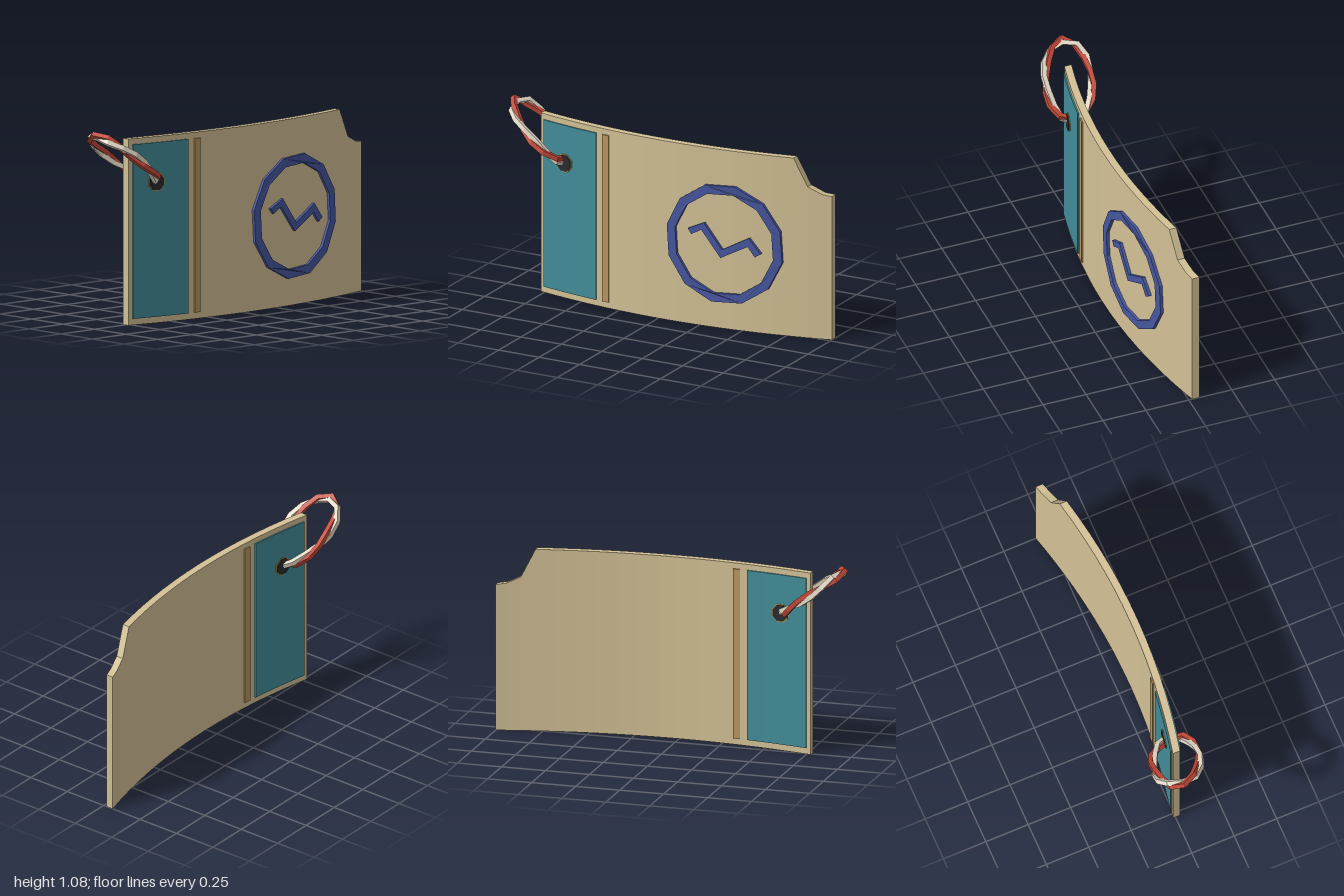
import * as THREE from 'three';

const THICK = 0.042;
// Centre surface of the curved plate
const bendZ = (x) => 0.094 - 0.14 * (x - 0.018) ** 2;

const mat = (color) => new THREE.MeshStandardMaterial({ color, flatShading: true });

function bend(geo) {
  const p = geo.attributes.position;
  for (let i = 0; i < p.count; i++) p.setZ(i, p.getZ(i) + bendZ(p.getX(i)));
  geo.computeVertexNormals();
  return geo;
}

// Upright slab following the curve; columns are [x, topY]
function curvedSlab(columns, y0, depth) {
  const n = columns.length - 1;
  const geo = new THREE.BoxGeometry(1, 1, depth, n, 1, 1);
  const p = geo.attributes.position;
  for (let i = 0; i < p.count; i++) {
    const [x, top] = columns[Math.round((p.getX(i) + 0.5) * n)];
    p.setXY(i, x, p.getY(i) > 0 ? top : y0);
  }
  return bend(geo);
}

function evenColumns(x0, x1, top, n) {
  return Array.from({ length: n + 1 }, (_, i) => [x0 + ((x1 - x0) * i) / n, top]);
}

// Flat outline raised from the front of the plate
function raised(shape) {
  const geo = new THREE.ExtrudeGeometry(shape, { depth: 0.017, bevelEnabled: false });
  geo.translate(0, 0, THICK / 2);
  return bend(geo);
}

function polygon(cx, cy, r, sides, offset) {
  return Array.from({ length: sides }, (_, i) => {
    const a = offset + (i / sides) * Math.PI * 2;
    return new THREE.Vector2(cx + r * Math.cos(a), cy + r * Math.sin(a));
  });
}

// One strand of the twisted cord loop
function strand(phase) {
  const centre = new THREE.Vector3(-0.783, 0.912, 0);
  const u = new THREE.Vector3(-0.182, 0.138, -0.033);
  const v = new THREE.Vector3(0, 0, 0.132);
  const normal = new THREE.Vector3().crossVectors(u, v).normalize();
  const points = [];
  const n = 42;
  for (let i = 0; i < n; i++) {
    const t = (i / n) * Math.PI * 2;
    const twist = 3 * t + phase;
    const radial = u.clone().multiplyScalar(Math.cos(t)).addScaledVector(v, Math.sin(t));
    const out = radial.clone().normalize();
    points.push(centre.clone().add(radial)
      .addScaledVector(out, 0.013 * Math.cos(twist))
      .addScaledVector(normal, 0.013 * Math.sin(twist)));
  }
  const curve = new THREE.CatmullRomCurve3(points, true);
  return new THREE.TubeGeometry(curve, 14, 0.019, 4, true);
}

export function createModel() {
  const model = new THREE.Group();
  const add = (name, geo, color, parent = model) => {
    const mesh = new THREE.Mesh(geo, mat(color));
    mesh.name = name;
    parent.add(mesh);
    return mesh;
  };

  // Plate with a chipped top corner
  const plateColumns = [
    ...evenColumns(-0.775, 0.79, 1.022, 14),
    [0.868, 0.865], [0.945, 0.828], [1.0, 0.82],
  ];
  add('plate', curvedSlab(plateColumns, 0, THICK), 0xd3c196);

  // Coloured end panel and narrow band, showing on both faces
  add('endPanel', curvedSlab(evenColumns(-0.75, -0.395, 0.99, 4), 0.035, THICK + 0.016), 0x428d99);
  add('band', curvedSlab(evenColumns(-0.353, -0.313, 0.99, 1), 0.035, THICK + 0.016), 0xb8965f);

  // Raised twelve-sided ring
  const offset = THREE.MathUtils.degToRad(18.5);
  const ring = new THREE.Shape(polygon(0.398, 0.487, 0.343, 12, offset));
  ring.holes.push(new THREE.Path(polygon(0.398, 0.487, 0.292, 12, offset)));
  add('ring', raised(ring), 0x46569f);

  // Raised zigzag inside the ring
  const zigzag = [
    [0.19, 0.55], [0.285, 0.595], [0.392, 0.455], [0.547, 0.54], [0.615, 0.457],
    [0.582, 0.435], [0.54, 0.49], [0.383, 0.407], [0.27, 0.553], [0.21, 0.52],
  ].map(([x, y]) => new THREE.Vector2(x, y));
  add('zigzag', raised(new THREE.Shape(zigzag)), 0x46569f);

  // Grommet set square to the curved surface
  const grommet = new THREE.Group();
  grommet.name = 'grommet';
  grommet.position.set(-0.6, 0.775, bendZ(-0.6));
  grommet.rotation.y = -0.17;
  model.add(grommet);
  const disc = (r, depth) => new THREE.CylinderGeometry(r, r, depth, 8).rotateX(Math.PI / 2).rotateZ(Math.PI / 8);
  add('grommetRim', disc(0.054, 0.064), 0xb5983c, grommet);
  add('grommetCore', disc(0.048, 0.076), 0x2b2a30, grommet);

  // Two-strand twisted cord loop
  const cord = new THREE.Group();
  cord.name = 'cordLoop';
  model.add(cord);
  add('redStrand', strand(0), 0xc44a3a, cord);
  add('creamStrand', strand(Math.PI), 0xe6dcc8, cord);

  return model;
}
